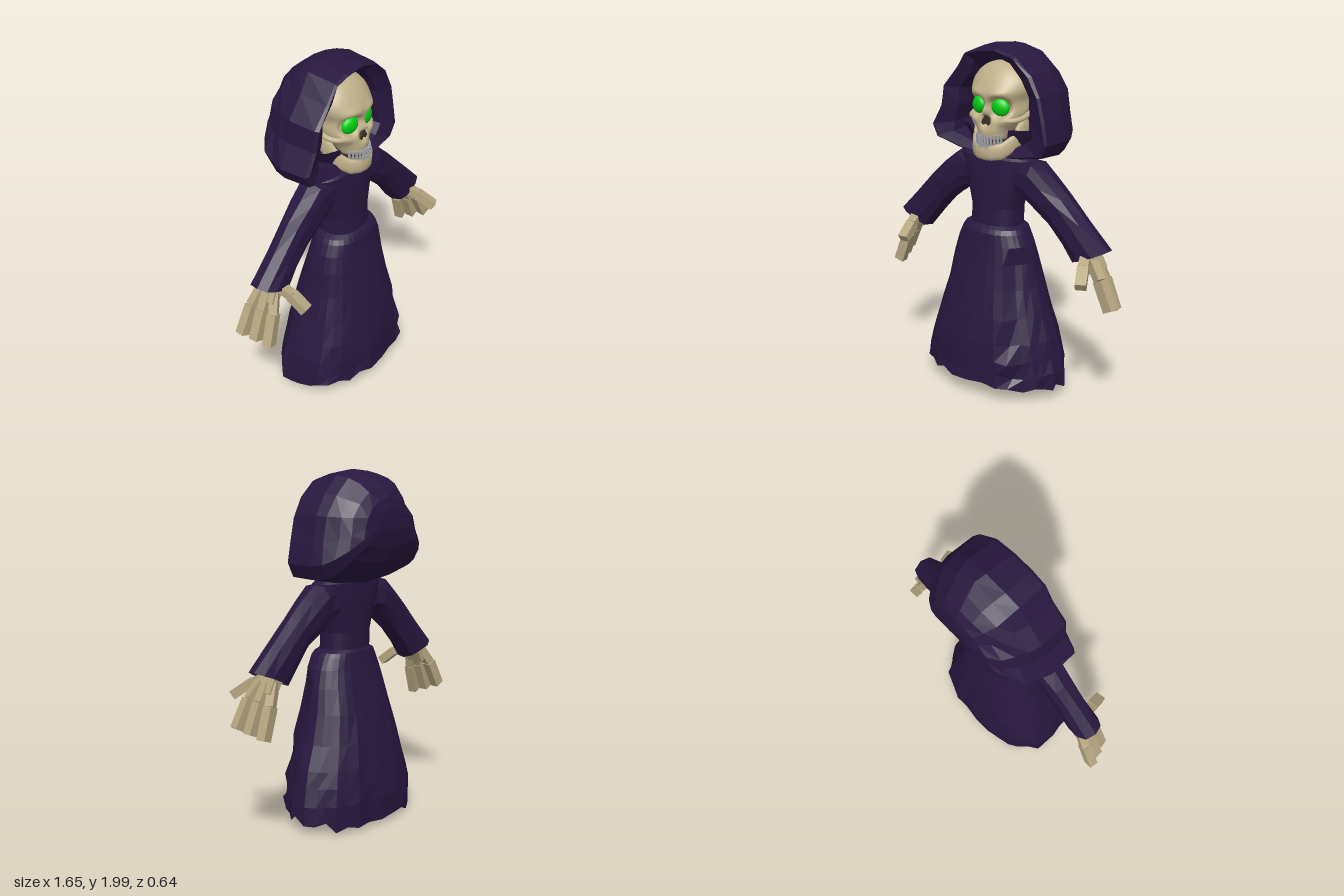
import * as THREE from 'three';

const V = (x, y, z) => new THREE.Vector3(x, y, z);
const mat = (color, flatShading, side = THREE.DoubleSide) =>
  new THREE.MeshStandardMaterial({ color, flatShading, side });
const cloth = mat(0x28173f, true);
const bone = mat(0xc0b08a, false);
const boneFlat = mat(0xb6a680, true, THREE.FrontSide);
const toothMat = mat(0xa2a4aa, true, THREE.FrontSide);
const dark = mat(0x3a3226, true);
const glow = mat(0x00d010, false, THREE.FrontSide);

const noise = (a, b) => {
  const s = Math.sin(a * 12.9898 + b * 78.233) * 43758.5453;
  return (s - Math.floor(s)) * 2 - 1;
};
const bump = (dx, dy, r) => Math.exp(-(dx * dx + dy * dy) / (r * r));
const power = (v, e) => Math.sign(v) * Math.pow(Math.abs(v), e);

function add(parent, name, geometry, material) {
  const m = new THREE.Mesh(geometry, material);
  m.name = name;
  parent.add(m);
  return m;
}

// Skin a list of closed rings; optional caps at first and last ring
function loft(rings, capStart = false, capEnd = false) {
  const n = rings[0].length, pts = rings.flat(), idx = [];
  for (let i = 0; i < rings.length - 1; i++) {
    for (let j = 0; j < n; j++) {
      const a = i * n + j, b = i * n + (j + 1) % n;
      idx.push(a, a + n, b, b, a + n, b + n);
    }
  }
  const cap = (k, flip) => {
    const c = rings[k].reduce((s, p) => s.add(p), V(0, 0, 0)).divideScalar(n);
    pts.push(c);
    for (let j = 0; j < n; j++) {
      const a = k * n + j, b = k * n + (j + 1) % n;
      idx.push(...(flip ? [pts.length - 1, a, b] : [pts.length - 1, b, a]));
    }
  };
  if (capStart) cap(0, true);
  if (capEnd) cap(rings.length - 1, false);
  const g = new THREE.BufferGeometry().setFromPoints(pts);
  g.setIndex(idx);
  g.computeVertexNormals();
  return g;
}

// Gown: [y, half width, front z, back z], ragged at the hem
function makeRobe() {
  const rows = [
    [0.075, 0.425, 0.315, -0.26], [0.17, 0.425, 0.31, -0.262], [0.26, 0.405, 0.308, -0.255],
    [0.36, 0.38, 0.30, -0.24], [0.50, 0.335, 0.275, -0.215], [0.66, 0.29, 0.24, -0.18],
    [0.80, 0.262, 0.21, -0.14], [0.90, 0.235, 0.19, -0.115], [0.965, 0.205, 0.18, -0.105],
    [0.99, 0.19, 0.165, -0.10], [1.005, 0.155, 0.145, -0.09], [1.10, 0.155, 0.138, -0.09],
    [1.20, 0.185, 0.135, -0.095], [1.30, 0.215, 0.13, -0.10], [1.38, 0.25, 0.12, -0.097],
    [1.42, 0.18, 0.09, -0.08],
  ];
  const n = 32;
  const rings = rows.map(([y, w, zf, zb], i) => Array.from({ length: n }, (_, j) => {
    const a = j / n * Math.PI * 2, c = Math.cos(a), s = Math.sin(a);
    const low = Math.max(0, 1 - y);
    const fold = 1 + (0.025 * Math.cos(7 * a + 0.6) + 0.02 * noise(j, 1) + 0.018 * noise(j, i)) * low;
    const x = power(c, 0.85) * w * fold * (c < 0 ? 1 + 0.04 * low : 1);
    let z = (zf + zb) / 2 + power(s, 0.85) * (zf - zb) / 2 * fold;
    // The overlapping front panel ends in a step
    if (s > 0 && x > 0.14 + 0.15 * low && y < 0.85) z -= 0.045;
    const ragged = i === 0 ? 0.042 * s + 0.028 * noise(j, 9) : 0.015 * noise(j, i + 3) * low;
    return V(x, y + ragged, z);
  }));
  return loft(rings, false, true);
}

// Hood: cavity, rim, side panel and rounded back
function makeHood() {
  const outline = [
    [0.365, 1.62], [0.335, 1.76], [0.275, 1.87], [0.17, 1.965], [0.05, 2.0], [-0.08, 1.99],
    [-0.17, 1.965], [-0.24, 1.87], [-0.33, 1.76], [-0.35, 1.64], [-0.42, 1.52], [-0.39, 1.45],
    [-0.2, 1.405], [0, 1.38], [0.2, 1.40], [0.345, 1.425], [0.385, 1.5],
  ];
  // [z, width scale, bottom y, top y]
  const slices = [
    [-0.21, 0.55, 1.48, 1.88], [-0.04, 0.62, 1.46, 1.92], [0.07, 0.7, 1.43, 1.93],
    [0.11, 0.96, 1.39, 1.965], [0.095, 1, 1.38, 1.975], [-0.07, 1, 1.37, 2.0],
    [-0.14, 0.96, 1.385, 1.985], [-0.205, 0.89, 1.43, 1.95], [-0.26, 0.76, 1.50, 1.90],
    [-0.30, 0.56, 1.58, 1.85], [-0.318, 0.3, 1.67, 1.79],
  ];
  const rings = slices.map(([z, w, lo, hi], i) => outline.map(([x, y], j) => {
    const k = [0.004, 0.01, 0.014, 0.006, 0.004, 0.005, 0.012, 0.012, 0.01, 0.006, 0.003][i];
    return V(x * w + k * noise(i, j), lo + (y - 1.38) / 0.62 * (hi - lo), z + k * noise(j, i) * 0.6);
  }));
  return loft(rings, true, true);
}

// Sleeve: upper edge, lower edge and half depth at each section
function makeSleeve(s) {
  const rows = [
    [0.18, 1.39, 0.15, 1.19, 0.09], [0.27, 1.385, 0.21, 1.17, 0.095], [0.36, 1.31, 0.28, 1.12, 0.09],
    [0.46, 1.225, 0.37, 1.05, 0.078], [0.59, 1.095, 0.455, 0.96, 0.075], [0.73, 0.962, 0.525, 0.868, 0.078],
  ];
  return loft(rows.map(([tx, ty, bx, by, d], i) => Array.from({ length: 10 }, (_, j) => {
    const a = j / 10 * Math.PI * 2, c = power(Math.cos(a), 0.8) / 2;
    const k = 0.005 * noise(i + s, j);
    return V(s * ((tx + bx) / 2 + c * (tx - bx)), (ty + by) / 2 + c * (ty - by) + k,
      0.008 + power(Math.sin(a), 0.6) * d + k);
  })));
}

// Blocky hand with three fingers and a thumb
function makeHand(s) {
  const hand = new THREE.Group();
  const link = (name, a, b, w, t) => {
    const m = add(hand, name, new THREE.BoxGeometry(w, t, a.distanceTo(b)), boneFlat);
    m.position.copy(a).lerp(b, 0.5);
    m.lookAt(b);
  };
  const p = (x, y, z) => V(s * x, y, z);
  link('wrist', p(0.58, 0.99, 0.005), p(0.635, 0.89, 0.005), 0.08, 0.06);
  link('palm', p(0.61, 0.93, 0.005), p(0.66, 0.84, 0.005), 0.12, 0.06);
  // Fingers fan out across the hand's slight twist
  for (const f of [-1, 0, 1]) {
    const z = 0.008 + f * 0.068, twist = f * s;
    const mid = p(0.695 + 0.02 * twist, 0.8 + 0.015 * twist, z * 0.85);
    link('fingerBase', p(0.64 + 0.01 * twist, 0.9, z * 0.55), mid, 0.047, 0.05);
    link('fingerTip', mid, p(0.765 + 0.028 * twist, 0.64 + 0.025 * twist, z), 0.052, 0.06);
  }
  const tx = s > 0 ? 0.69 : 0.575;
  const knuckle = p((0.6 + tx) / 2, 0.885, 0.12);
  link('thumbBase', p(0.61, 0.93, 0.04), knuckle, 0.055, 0.045);
  link('thumbTip', knuckle, p(tx, 0.815, 0.21), 0.06, 0.05);
  return hand;
}

// Cranium and face, with sockets, nose, brow and temples shaped by rule
function makeCranium() {
  const rows = [
    [1.495, 0.085, 0.155, 0.0], [1.54, 0.105, 0.16, -0.04], [1.59, 0.14, 0.152, -0.09],
    [1.64, 0.165, 0.148, -0.13], [1.70, 0.172, 0.15, -0.16], [1.76, 0.187, 0.145, -0.17],
    [1.82, 0.172, 0.115, -0.16], [1.87, 0.125, 0.07, -0.12], [1.897, 0.06, 0.02, -0.07],
    [1.902, 0.005, -0.02, -0.03],
  ];
  const front = new THREE.CatmullRomCurve3(rows.map(([y, w, f]) => V(w, y, f)), false, 'catmullrom');
  const back = new THREE.CatmullRomCurve3(rows.map(([y, , , b]) => V(0, y, b)), false, 'catmullrom');
  const N = 44, M = 72, rings = [];
  for (let i = 0; i <= N; i++) {
    const f = front.getPoint(i / N), b = back.getPoint(i / N), ring = [];
    for (let j = 0; j < M; j++) {
      const a = j / M * Math.PI * 2, s = Math.sin(a);
      let x = Math.cos(a) * f.x, z = (f.z + b.z) / 2 + s * (f.z - b.z) / 2;
      const y = f.y, ax = Math.abs(x);
      if (s > 0) {
        const socket = Math.hypot(ax - 0.075, y - 1.668) / 0.054;
        z -= 0.06 * Math.exp(-Math.pow(socket, 4));
        z -= 0.045 * bump(x * 1.3, y - 1.595, 0.028);
        z += 0.03 * bump(x * 1.2, y - 1.645, 0.025);
        z += 0.018 * bump((ax - 0.075) * 0.5, y - 1.735, 0.03);
        z += 0.025 * bump(ax - 0.115, y - 1.598, 0.035);
        x *= 1 - 0.07 * bump(z - 0.06, y - 1.69, 0.06);
      }
      ring.push(V(x, y, z));
    }
    rings.push(ring);
  }
  return loft(rings, true, true);
}

// Jaw band: [x, z, y, half height] from one hinge round the chin to the other
function makeJaw() {
  const half = [[0.152, -0.015, 1.56, 0.05], [0.148, 0.03, 1.525, 0.075], [0.125, 0.08, 1.465, 0.052],
    [0.09, 0.125, 1.432, 0.046], [0.045, 0.153, 1.424, 0.044]];
  const path = [...half, [0, 0.158, 1.42, 0.042], ...half.map(([x, ...r]) => [-x, ...r]).reverse()];
  return loft(path.map(([x, z, y, h]) => {
    const out = V(x, 0, z - 0.01).normalize();
    return Array.from({ length: 12 }, (_, j) => {
      const a = j / 12 * Math.PI * 2;
      return V(x, y - Math.cos(a) * h, z).addScaledVector(out, power(Math.sin(a), 0.7) * 0.018);
    });
  }), true, true);
}

function makeSkull() {
  const skull = new THREE.Group();
  add(skull, 'cranium', makeCranium(), bone);
  add(skull, 'jaw', makeJaw(), bone);

  // Nose opening
  const nose = new THREE.Shape([[0, 1.632], [0.03, 1.585], [0.018, 1.57], [0, 1.582],
    [-0.018, 1.57], [-0.03, 1.585]].map(q => new THREE.Vector2(...q)));
  add(skull, 'noseOpening', new THREE.ExtrudeGeometry(nose, { depth: 0.043, bevelEnabled: false }), dark)
    .position.z = 0.107;
  add(skull, 'mouthCavity', new THREE.CylinderGeometry(0.085, 0.085, 0.085, 20), dark)
    .position.set(0, 1.48, 0.062);

  for (const s of [-1, 1]) {
    const arch = new THREE.CatmullRomCurve3([V(s * 0.105, 1.598, 0.115), V(s * 0.148, 1.602, 0.085),
      V(s * 0.17, 1.612, 0.035), V(s * 0.162, 1.63, -0.03)]);
    add(skull, 'cheekbone', new THREE.TubeGeometry(arch, 24, 0.015, 10), bone);
    const eye = add(skull, 'eye', new THREE.SphereGeometry(1, 24, 16), glow);
    eye.position.set(s * 0.075, 1.67, 0.112);
    eye.scale.set(0.052, 0.047, 0.026);
    eye.rotation.set(0, s * 0.3, s * -0.25);
    // Two curved rows of teeth
    for (let i = 0; i < 6; i++) {
      for (const [y, h] of [[1.497, 0.04], [1.466, 0.034]]) {
        const a = (i + 0.5) * 0.2;
        const t = add(skull, 'tooth', new THREE.CylinderGeometry(0.0085, 0.0065, h, 6), toothMat);
        t.position.set(s * Math.sin(a) * 0.092, y + 0.004 * noise(i, y), 0.072 + Math.cos(a) * 0.098);
      }
    }
  }
  skull.position.x = 0.012;
  return skull;
}

export function createModel() {
  const model = new THREE.Group();
  model.name = 'hoodedSkeleton';
  add(model, 'robe', makeRobe(), cloth);
  add(model, 'hood', makeHood(), cloth);
  // Collar wrapped round the neck, open below the chin
  const collar = add(model, 'collar',
    new THREE.CylinderGeometry(0.25, 0.14, 0.16, 12, 1, true, 0.55, Math.PI * 2 - 1.1), cloth);
  collar.position.set(0, 1.47, 0);
  collar.scale.z = 0.48;
  const skull = makeSkull();
  skull.name = 'skull';
  model.add(skull);
  for (const s of [-1, 1]) {
    const side = s > 0 ? 'left' : 'right';
    add(model, side + 'Sleeve', makeSleeve(s), cloth);
    const hand = makeHand(s);
    hand.name = side + 'Hand';
    model.add(hand);
  }
  return model;
}
